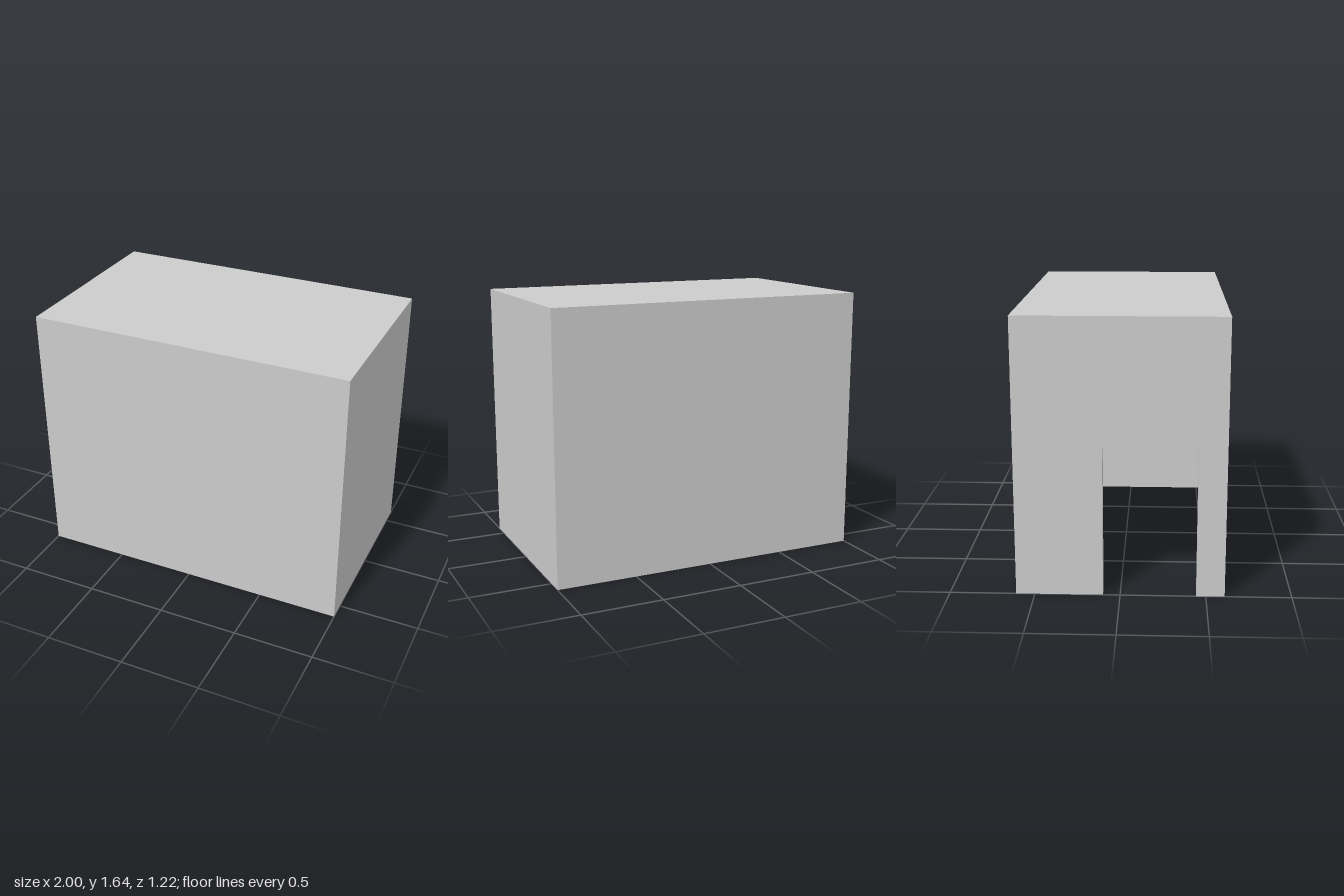
import * as THREE from 'three';

const HALF_LENGTH = 1, HALF_DEPTH = 0.61, HEIGHT = 1.645;
const WALL = 0.06, CEILING = 1.55;
const DOOR = { back: -0.1, front: 0.445, top: 0.9 };

export function createModel() {
  const group = new THREE.Group();
  group.name = 'shelter';
  const material = new THREE.MeshStandardMaterial({ color: 0xcccccc });

  // Extrudes a cross-section, given as [z, y] corners, along x
  function addSection(name, corners, xStart, xEnd) {
    const shape = new THREE.Shape(corners.map(([z, y]) => new THREE.Vector2(-z, y)));
    const geometry = new THREE.ExtrudeGeometry(shape, { depth: xEnd - xStart, bevelEnabled: false });
    geometry.rotateY(Math.PI / 2).translate(xStart, 0, 0);
    const mesh = new THREE.Mesh(geometry, material);
    mesh.name = name;
    group.add(mesh);
  }

  // Outline of an upside-down U: full outer rectangle with an opening from the ground up
  const archOutline = (back, front, top) => [
    [-HALF_DEPTH, 0], [-HALF_DEPTH, HEIGHT], [HALF_DEPTH, HEIGHT], [HALF_DEPTH, 0],
    [front, 0], [front, top], [back, top], [back, 0],
  ];

  const inner = HALF_LENGTH - WALL;

  // Front wall, back wall and roof in one piece, open underneath
  addSection('sideWallsAndRoof', archOutline(-HALF_DEPTH + WALL, HALF_DEPTH - WALL, CEILING), -inner, inner);

  // End wall with the off-centre doorway
  addSection('doorwayWall', archOutline(DOOR.back, DOOR.front, DOOR.top), -HALF_LENGTH, -inner);

  // Closed end wall
  addSection('endWall', [
    [-HALF_DEPTH, 0], [-HALF_DEPTH, HEIGHT], [HALF_DEPTH, HEIGHT], [HALF_DEPTH, 0],
  ], inner, HALF_LENGTH);

  return group;
}
